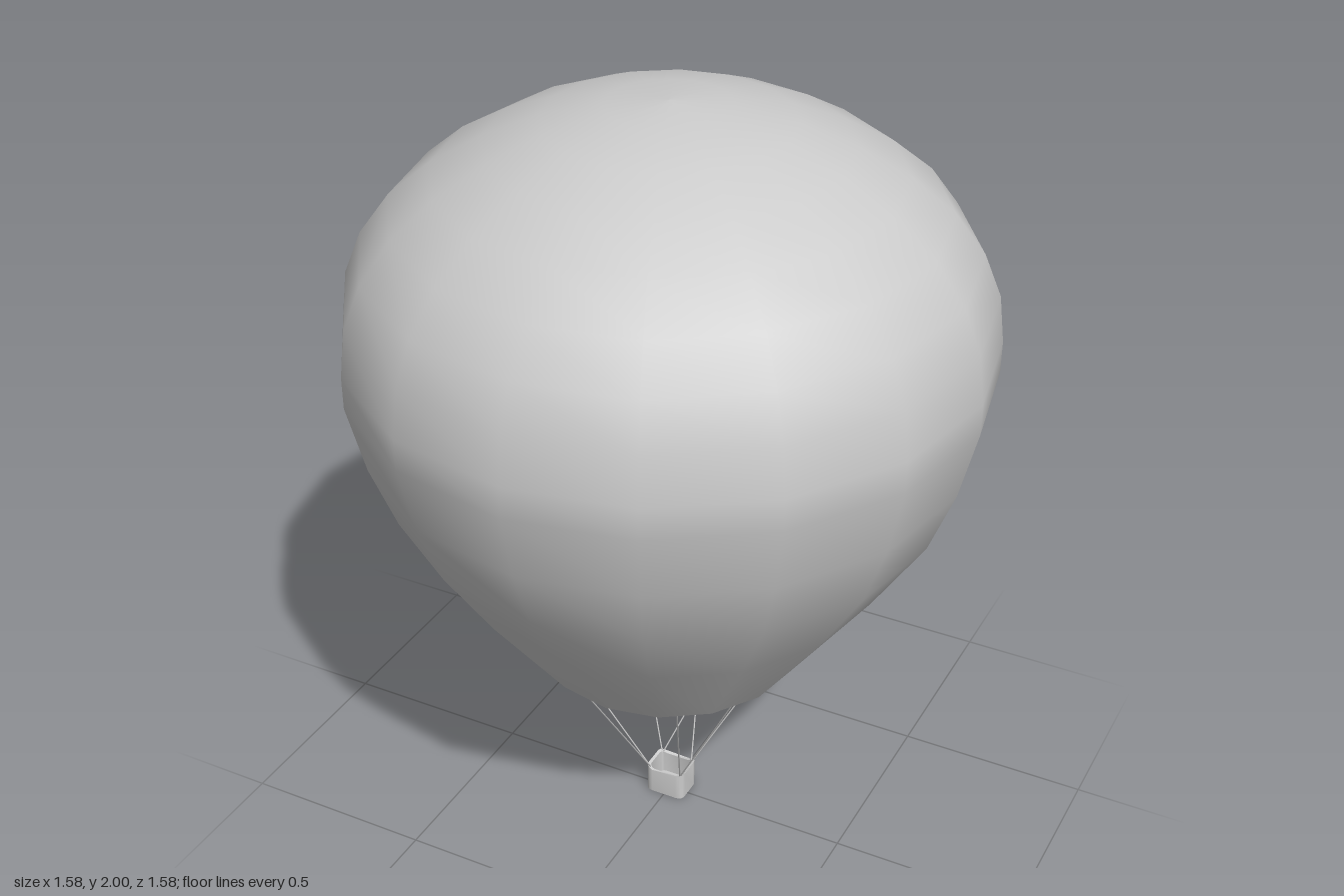
import * as THREE from 'three';
import { toCreasedNormals } from 'three/addons/utils/BufferGeometryUtils.js';

const fabric = new THREE.MeshStandardMaterial({ color: 0xcccccc, side: THREE.DoubleSide });
const solid = new THREE.MeshStandardMaterial({ color: 0xcccccc });

const BASKET_Z = -0.01;

function addMesh(parent, name, geometry, material) {
  const mesh = new THREE.Mesh(geometry, material);
  mesh.name = name;
  parent.add(mesh);
  return mesh;
}

// Rounded rectangle centred on the origin
function roundedRect(Type, w, d, r) {
  const s = new Type();
  const x = w / 2, y = d / 2;
  s.moveTo(-x + r, -y);
  s.lineTo(x - r, -y).quadraticCurveTo(x, -y, x, -y + r);
  s.lineTo(x, y - r).quadraticCurveTo(x, y, x - r, y);
  s.lineTo(-x + r, y).quadraticCurveTo(-x, y, -x, y - r);
  s.lineTo(-x, -y + r).quadraticCurveTo(-x, -y, -x + r, -y);
  return s;
}

function extrudeUp(shape, height) {
  const g = new THREE.ExtrudeGeometry(shape, { depth: height, bevelEnabled: false, curveSegments: 4 });
  return g.rotateX(-Math.PI / 2);
}

function createBasket() {
  const basket = new THREE.Group();
  basket.name = 'basket';

  // Hollow wall whose rim rises toward the two ends
  const outline = roundedRect(THREE.Shape, 0.11, 0.09, 0.02);
  outline.holes.push(roundedRect(THREE.Path, 0.094, 0.074, 0.014));
  const wall = extrudeUp(outline, 0.065);
  const p = wall.attributes.position;
  for (let i = 0; i < p.count; i++) {
    if (p.getY(i) > 0.03) {
      p.setY(i, 0.065 + 0.014 * Math.min(1, Math.abs(p.getX(i)) / 0.05) ** 2);
    }
  }
  addMesh(basket, 'basketWall', toCreasedNormals(wall, 0.6), solid);

  // Floor
  addMesh(basket, 'basketFloor', extrudeUp(roundedRect(THREE.Shape, 0.1, 0.08, 0.018), 0.008), solid);
  basket.position.z = BASKET_Z;
  return basket;
}

function createRope(from, to) {
  const path = new THREE.LineCurve3(from, to);
  return new THREE.TubeGeometry(path, 1, 0.002, 5, false);
}

export function createModel() {
  const model = new THREE.Group();
  model.name = 'hotAirBalloon';

  // Envelope, open at the mouth
  const profile = [
    [0.345, 0.517], [0.55, 0.795], [0.683, 1.0], [0.746, 1.165], [0.788, 1.34],
    [0.788, 1.42], [0.773, 1.54], [0.73, 1.645], [0.656, 1.745], [0.553, 1.83],
    [0.43, 1.9], [0.298, 1.955], [0.15, 1.99], [0, 2.0],
  ].map(([r, y]) => new THREE.Vector2(r, y));
  addMesh(model, 'envelope', new THREE.LatheGeometry(profile, 16), fabric);

  model.add(createBasket());

  // Ropes: x and z at the mouth, then the basket end they run to
  const ropes = [
    [-0.33, 0.09, -1], [-0.05, 0.335, -1], [0.17, 0.29, 1], [0.275, 0.17, 1],
    [-0.24, -0.23, -1], [-0.05, -0.325, 1], [0.115, -0.31, -1], [0.28, -0.17, 1],
  ];
  ropes.forEach(([x, z, end], i) => {
    const top = new THREE.Vector3(x, 0.52, z);
    const bottom = new THREE.Vector3(end * 0.044, 0.07, BASKET_Z + Math.sign(z) * 0.034);
    addMesh(model, `rope${i + 1}`, createRope(bottom, top), solid);
  });

  return model;
}
